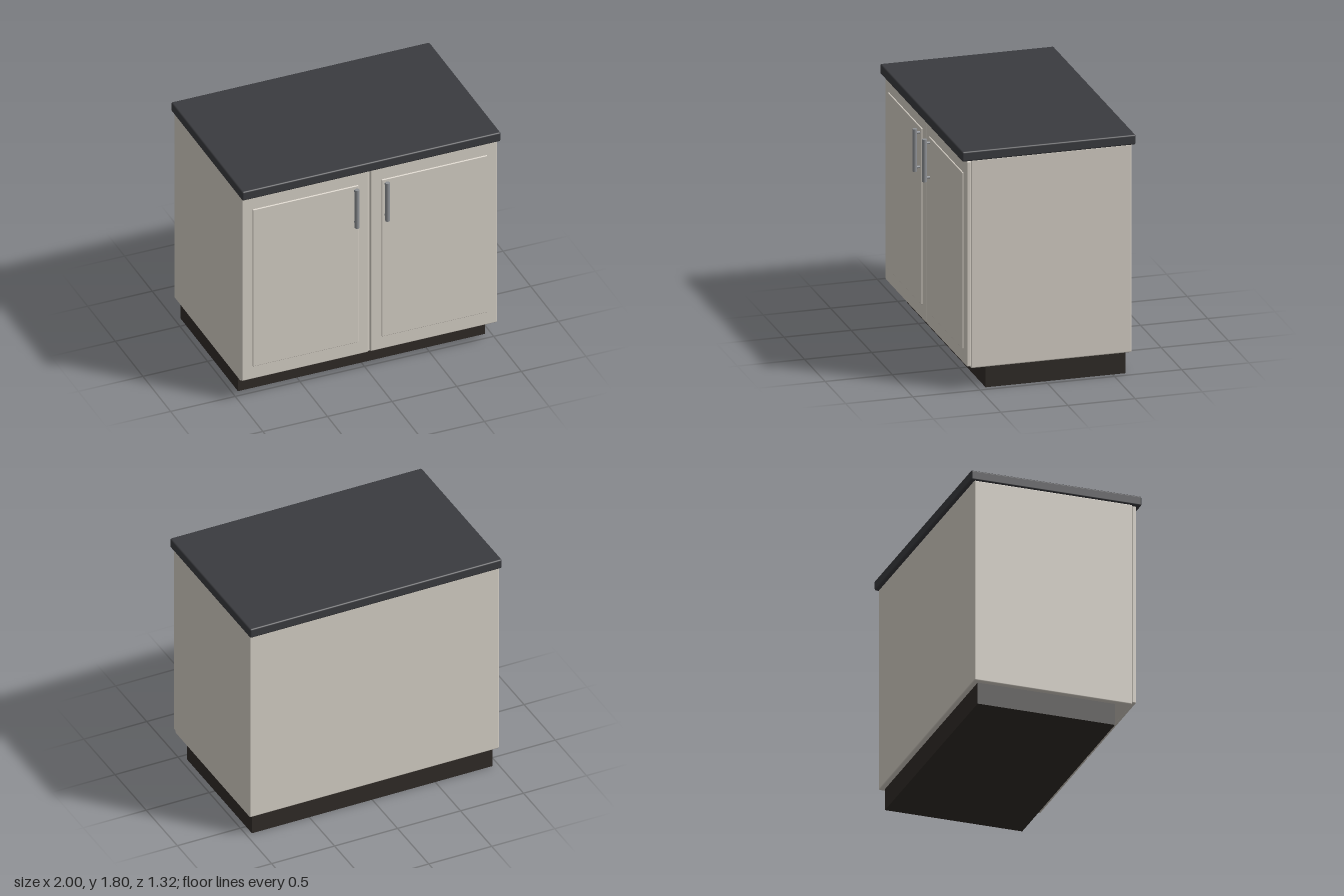
import * as THREE from 'three';
import { RoundedBoxGeometry } from 'three/addons/geometries/RoundedBoxGeometry.js';

const paint = new THREE.MeshStandardMaterial({ color: 0xd6d0c6 });
const stone = new THREE.MeshStandardMaterial({ color: 0x3a3b3f });
const dark = new THREE.MeshStandardMaterial({ color: 0x302b27 });
const metal = new THREE.MeshStandardMaterial({ color: 0x8f9296 });

// Box given by its extents on each axis; rounded when a radius is given.
function block(name, material, [x0, x1], [y0, y1], [z0, z1], radius = 0) {
  const size = [x1 - x0, y1 - y0, z1 - z0];
  const geometry = radius
    ? new RoundedBoxGeometry(...size, 3, radius)
    : new THREE.BoxGeometry(...size);
  const mesh = new THREE.Mesh(geometry, material);
  mesh.name = name;
  mesh.position.set((x0 + x1) / 2, (y0 + y1) / 2, (z0 + z1) / 2);
  return mesh;
}

function rod(name, radius, length) {
  const mesh = new THREE.Mesh(new THREE.CylinderGeometry(radius, radius, length, 20), metal);
  mesh.name = name;
  return mesh;
}

// Vertical bar pull on two short posts.
function createHandle() {
  const handle = new THREE.Group();
  handle.name = 'handle';
  const bar = rod('handleBar', 0.017, 0.32);
  bar.position.z = 0.643;
  handle.add(bar);
  for (const y of [-0.13, 0.13]) {
    const post = rod('handlePost', 0.009, 0.05);
    post.rotation.x = Math.PI / 2;
    post.position.set(0, y, 0.62);
    handle.add(post);
  }
  return handle;
}

// Door slab with a raised centre panel; side is +1 for left, -1 for right.
function createDoor(side) {
  const span = (a, b) => (side > 0 ? [a, b] : [-b, -a]);
  const door = new THREE.Group();
  door.name = side > 0 ? 'leftDoor' : 'rightDoor';
  door.add(block('doorSlab', paint, span(0.008, 0.988), [0.18, 1.725], [0.562, 0.595], 0.008));
  door.add(block('doorPanel', paint, span(0.09, 0.907), [0.29, 1.617], [0.585, 0.605], 0.005));
  const handle = createHandle();
  handle.position.set(side * 0.118, 1.45, 0);
  door.add(handle);
  return door;
}

export function createModel() {
  const cabinet = new THREE.Group();
  cabinet.name = 'baseCabinet';
  cabinet.add(
    block('plinth', dark, [-0.955, 0.955], [0, 0.17], [-0.595, 0.445]),
    block('carcass', paint, [-0.99, 0.99], [0.165, 1.735], [-0.632, 0.565], 0.01),
    block('countertop', stone, [-1, 1], [1.73, 1.805], [-0.66, 0.632], 0.012),
    createDoor(1),
    createDoor(-1),
  );
  return cabinet;
}
